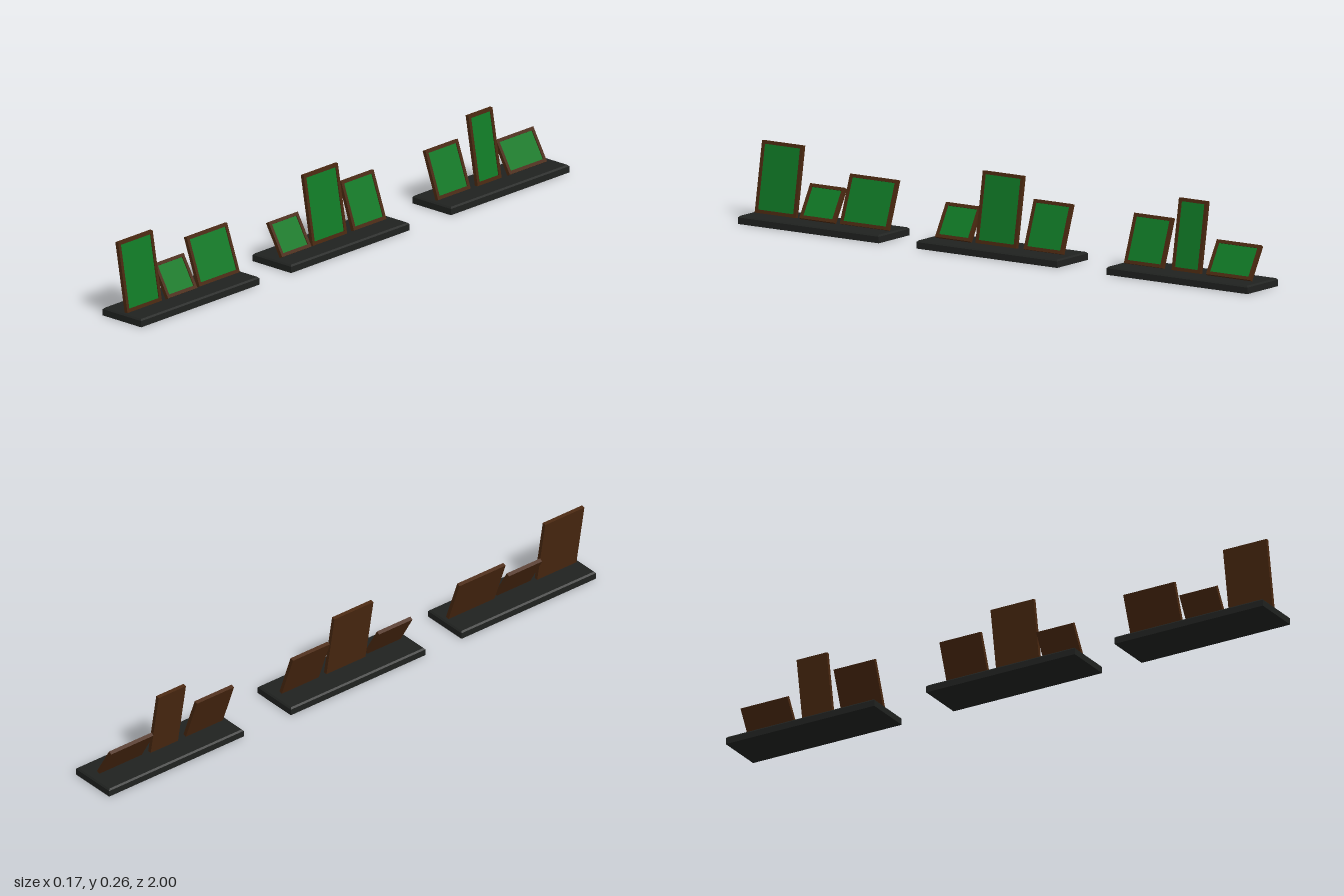
import * as THREE from 'three';

const wood = new THREE.MeshStandardMaterial({ color: 0x4a2810 });
const black = new THREE.MeshStandardMaterial({ color: 0x202220, flatShading: true });
const green = new THREE.MeshStandardMaterial({ color: 0x107a26 });

const SHELF = { width: 0.167, height: 0.026, length: 0.553, bevel: 0.005 };
const THICK = 0.0125, BORDER = 0.011, RECESS = 0.003;

// Frame types: height along the slope, lean in degrees, x of the lower back edge
const TYPES = {
  tall: { height: 0.2325, lean: 10, x: -0.001 },
  medium: { height: 0.164, lean: 20, x: 0.001 },
  small: { height: 0.12, lean: 30, x: 0.009 },
};

// Each shelf: centre z and its frames as [type, centre z, width]
const SHELVES = [
  { z: 0.7235, frames: [['tall', 0.906, 0.161], ['small', 0.737, 0.137], ['medium', 0.557, 0.189]] },
  { z: 0.023, frames: [['small', 0.204, 0.137], ['tall', 0.04, 0.16], ['medium', -0.146, 0.152]] },
  { z: -0.7235, frames: [['medium', -0.54, 0.152], ['tall', -0.706, 0.112], ['small', -0.878, 0.174]] },
];

function addMesh(parent, geometry, material, name) {
  const mesh = new THREE.Mesh(geometry, material);
  mesh.name = name;
  parent.add(mesh);
  return mesh;
}

// Slab with a chamfer around the top edge
function shelfGeometry() {
  const { width, height, length, bevel } = SHELF;
  const g = new THREE.BoxGeometry(width, height, length, 1, 2, 1).toNonIndexed();
  const p = g.attributes.position;
  for (let i = 0; i < p.count; i++) {
    const y = p.getY(i);
    if (y > height / 4) {
      p.setX(i, p.getX(i) - Math.sign(p.getX(i)) * bevel);
      p.setZ(i, p.getZ(i) - Math.sign(p.getZ(i)) * bevel);
    } else if (y > -height / 4) {
      p.setY(i, height / 2 - bevel);
    }
  }
  g.translate(0, height / 2, 0);
  g.computeVertexNormals();
  return g;
}

function rectangle(Kind, w, y0, y1) {
  return new Kind([
    new THREE.Vector2(-w / 2, y0), new THREE.Vector2(w / 2, y0),
    new THREE.Vector2(w / 2, y1), new THREE.Vector2(-w / 2, y1),
  ]);
}

// Picture frame facing +x, pivoting on its lower back edge
function createFrame(width, height) {
  const frame = new THREE.Group();
  const outline = rectangle(THREE.Shape, width, 0, height);
  outline.holes.push(rectangle(THREE.Path, width - 2 * BORDER, BORDER, height - BORDER));
  const border = new THREE.ExtrudeGeometry(outline, { depth: THICK, bevelEnabled: false });
  addMesh(frame, border.rotateY(Math.PI / 2), wood, 'frameBorder');

  const w = width - 2 * BORDER, h = height - 2 * BORDER;
  const backDepth = THICK / 2, panelDepth = THICK / 2 - RECESS;
  addMesh(frame, new THREE.BoxGeometry(backDepth, h, w), wood, 'frameBack')
    .position.set(backDepth / 2, height / 2, 0);
  addMesh(frame, new THREE.BoxGeometry(panelDepth, h, w), green, 'picturePanel')
    .position.set(backDepth + panelDepth / 2, height / 2, 0);
  return frame;
}

export function createModel() {
  const model = new THREE.Group();
  model.name = 'pictureShelves';
  const slab = shelfGeometry();
  for (const { z, frames } of SHELVES) {
    const unit = new THREE.Group();
    unit.name = 'shelfWithFrames';
    unit.position.z = z;
    addMesh(unit, slab, black, 'shelf');
    for (const [type, frameZ, width] of frames) {
      const { height, lean, x } = TYPES[type];
      const frame = createFrame(width, height);
      frame.name = type + 'Frame';
      frame.position.set(x, SHELF.height - 0.001, frameZ - z);
      frame.rotation.z = THREE.MathUtils.degToRad(lean);
      unit.add(frame);
    }
    model.add(unit);
  }
  return model;
}
